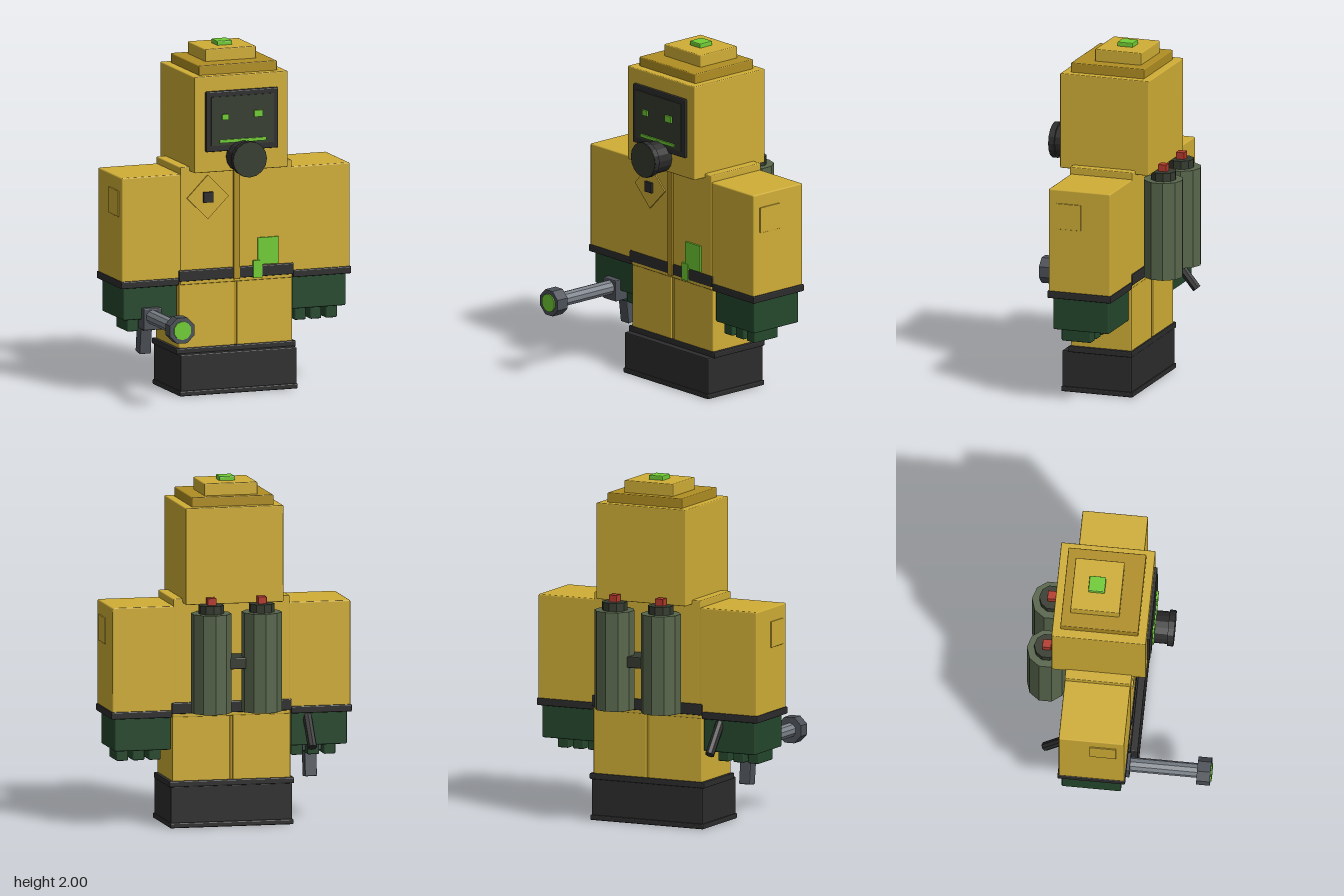
import * as THREE from 'three';
import { RoundedBoxGeometry } from 'three/addons/geometries/RoundedBoxGeometry.js';

const mat = (name, color, flatShading = false) => {
  const m = new THREE.MeshStandardMaterial({ color });
  m.name = name;
  m.flatShading = flatShading;
  return m;
};

export function createModel() {
  const yellow = mat('suitYellow', 0xd0ae36);
  const ochre = mat('darkYellow', 0xb08e22);
  const black = mat('rubberBlack', 0x2c2c2c, true);
  const glove = mat('gloveGreen', 0x24472c);
  const tankGreen = mat('tankGreen', 0x58664c, true);
  const visor = mat('visorGrey', 0x353b2f, true);
  const lime = mat('glowGreen', 0x70cc34, true);
  const red = mat('valveRed', 0xb43a2c);
  const steel = mat('steel', 0x7c828a, true);
  const gunmetal = mat('darkSteel', 0x4c5158, true);

  const model = new THREE.Group();
  model.name = 'hazmatWorker';

  const add = (name, geo, material, parent = model) => {
    const mesh = new THREE.Mesh(geo, material);
    mesh.name = name;
    parent.add(mesh);
    return mesh;
  };
  // Box from its limits, with a small bevel when b > 0
  const box = (name, material, x0, x1, y0, y1, z0, z1, b = 0.006, parent = model) => {
    const s = [x1 - x0, y1 - y0, z1 - z0];
    const geo = b ? new RoundedBoxGeometry(...s, 1, b) : new THREE.BoxGeometry(...s);
    const mesh = add(name, geo, material, parent);
    mesh.position.set((x0 + x1) / 2, (y0 + y1) / 2, (z0 + z1) / 2);
    return mesh;
  };
  // Cylinder lying along z
  const rod = (name, material, r, x, y, z0, z1, sides, turn = 0) => {
    const geo = new THREE.CylinderGeometry(r, r, z1 - z0, sides).rotateY(turn).rotateX(Math.PI / 2);
    const mesh = add(name, geo, material);
    mesh.position.set(x, y, (z0 + z1) / 2);
    return mesh;
  };

  // Boots
  box('bootSole', black, -0.36, 0.36, 0.005, 0.035, -0.322, 0.11);
  box('boots', black, -0.354, 0.354, 0.03, 0.245, -0.315, 0.105);
  box('bootRim', black, -0.365, 0.365, 0.24, 0.275, -0.32, 0.066);

  // Legs with a recessed seam
  for (const s of [-1, 1]) {
    const [a, b] = s < 0 ? [-0.345, -0.008] : [0.008, 0.345];
    box('leg', yellow, a, b, 0.26, 0.67, -0.31, 0.058);
  }
  box('legSeam', ochre, -0.01, 0.01, 0.26, 0.67, -0.302, 0.05, 0);

  // Torso, belt and zip
  box('torso', yellow, -0.34, 0.34, 0.64, 1.32, -0.312, 0.066);
  box('belt', black, -0.35, 0.35, 0.66, 0.725, -0.32, 0.073);
  box('zip', ochre, -0.02, 0.02, 0.655, 1.31, 0.05, 0.08, 0.003);

  // Chest badge
  const badge = box('chestDiamond', yellow, -0.265, -0.085, 1.05, 1.23, 0.06, 0.074, 0);
  badge.rotation.z = Math.PI / 4;
  box('badgeSquare', black, -0.205, -0.147, 1.11, 1.17, 0.07, 0.088, 0);

  // Glowing stain on the belt
  box('stainUpper', lime, 0.13, 0.255, 0.73, 0.885, 0.06, 0.077, 0);
  box('stainLower', lime, 0.1, 0.155, 0.655, 0.755, 0.06, 0.08, 0);

  // Arms, gloves and fingers
  for (const s of [-1, 1]) {
    const arm = new THREE.Group();
    arm.name = s > 0 ? 'leftArm' : 'rightArm';
    model.add(arm);
    const side = (name, m, x0, x1, ...rest) =>
      box(name, m, Math.min(s * x0, s * x1), Math.max(s * x0, s * x1), ...rest, arm);
    side('sleeve', yellow, 0.33, 0.695, 0.67, 1.28, -0.312, 0.062, 0.008);
    side('shoulderPatch', yellow, 0.68, 0.701, 1.05, 1.2, -0.135, 0.015, 0.002);
    side('cuff', black, 0.348, 0.702, 0.64, 0.682, -0.318, 0.068, 0.006);
    side('glove', glove, 0.35, 0.678, 0.453, 0.645, -0.297, 0.042, 0.008);
    for (const x of [0.415, 0.51, 0.605])
      side('finger', glove, x - 0.035, x + 0.035, 0.38, 0.47, -0.175, 0.005, 0.008);
  }

  // Hood and stepped cap
  box('hood', yellow, -0.285, 0.285, 1.295, 1.85, -0.393, 0.145);
  box('capBrim', ochre, -0.238, 0.238, 1.84, 1.905, -0.347, 0.097);
  box('capTop', yellow, -0.155, 0.155, 1.9, 1.975, -0.298, -0.018);
  box('capLight', lime, -0.046, 0.046, 1.965, 2, -0.207, -0.113);

  // Face mask
  box('maskFrame', black, -0.22, 0.22, 1.415, 1.763, 0.13, 0.163);
  box('maskGlass', visor, -0.19, 0.19, 1.45, 1.732, 0.15, 0.168, 0);
  box('rightEye', lime, -0.126, -0.086, 1.598, 1.63, 0.16, 0.178, 0);
  box('leftEye', lime, 0.068, 0.12, 1.604, 1.642, 0.16, 0.18, 0);
  box('mouth', lime, -0.142, 0.142, 1.465, 1.483, 0.16, 0.176, 0);
  rod('filter', black, 0.093, 0, 1.38, 0.13, 0.255, 16);
  rod('filterRim', black, 0.104, 0, 1.38, 0.248, 0.281, 16);
  rod('filterFace', visor, 0.102, 0, 1.38, 0.276, 0.284, 16);

  // Back tanks
  for (const x of [-0.147, 0.147]) {
    const tank = new THREE.Group();
    tank.name = 'tank';
    tank.position.set(x, 0, -0.432);
    model.add(tank);
    add('tankBody', new THREE.CylinderGeometry(0.115, 0.115, 0.57, 10), tankGreen, tank).position.y = 0.965;
    add('tankNeck', new THREE.CylinderGeometry(0.073, 0.073, 0.06, 10), visor, tank).position.y = 1.268;
    box('valve', red, -0.025, 0.025, 1.28, 1.338, -0.025, 0.025, 0.002, tank);
  }
  box('tankBridge', visor, -0.08, 0.08, 0.93, 0.995, -0.478, -0.3);

  // Hose stub under the right cuff
  const hose = add('hose', new THREE.CylinderGeometry(0.027, 0.027, 0.28, 8), black);
  hose.position.set(-0.448, 0.565, -0.325);
  hose.rotation.x = Math.atan2(0.13, 0.16);

  // Lamp held in the right hand
  const lx = -0.513, ly = 0.47;
  box('lampBlock', gunmetal, lx - 0.055, lx + 0.055, 0.395, 0.52, -0.12, 0.08);
  const grip = box('lampGrip', gunmetal, lx - 0.035, lx + 0.035, 0.24, 0.45, -0.095, -0.025);
  grip.rotation.x = 0.12;
  rod('lampBarrel', steel, 0.042, lx, ly, 0.06, 0.48, 10);
  rod('lampHead', gunmetal, 0.08, lx, ly, 0.463, 0.54, 8, Math.PI / 8);
  rod('lampLens', lime, 0.054, lx, ly, 0.53, 0.547, 10);

  return model;
}
